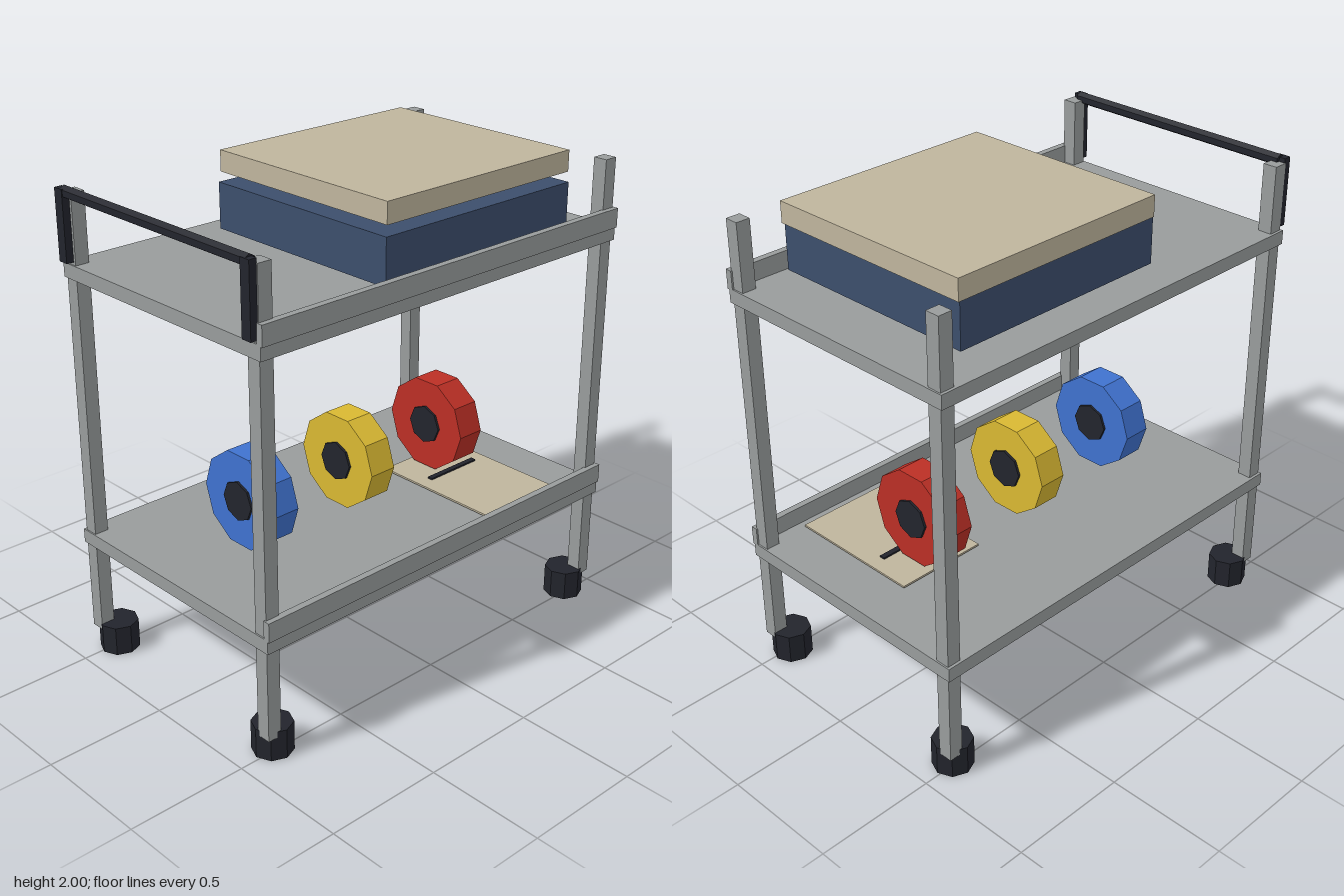
import * as THREE from 'three';

const mat = (name, color) => {
  const m = new THREE.MeshStandardMaterial({ color });
  m.name = name;
  m.flatShading = true;
  return m;
};

export function createModel() {
  const steel = mat('steelGrey', 0x989c9c);
  const dark = mat('darkRubber', 0x22242c);
  const tan = mat('cardTan', 0xbfb59d);
  const navy = mat('navyBlue', 0x3c4e6c);
  const blue = mat('spoolBlue', 0x3f72cf);
  const yellow = mat('spoolYellow', 0xd9b832);
  const red = mat('spoolRed', 0xbb2f25);

  const cart = new THREE.Group();
  cart.name = 'utilityCart';

  const add = (name, geometry, material, x, y, z, parent = cart) => {
    const mesh = new THREE.Mesh(geometry, material);
    mesh.name = name;
    mesh.position.set(x, y, z);
    parent.add(mesh);
    return mesh;
  };

  // Box given by its low and high corners
  const box = (name, material, [x0, y0, z0], [x1, y1, z1]) =>
    add(name, new THREE.BoxGeometry(x1 - x0, y1 - y0, z1 - z0), material,
      (x0 + x1) / 2, (y0 + y1) / 2, (z0 + z1) / 2);

  // Two shelves, each with a raised lip along the front
  for (const [name, y] of [['lowerShelf', 0.487], ['upperShelf', 1.62]]) {
    box(name, steel, [-0.915, y, -0.57], [0.932, y + 0.058, 0.565]);
    box(name + 'Lip', steel, [-0.915, y + 0.053, 0.545], [0.932, y + 0.133, 0.574]);
  }

  // Corner posts standing on octagonal casters
  for (const side of [-1, 1]) {
    for (const end of [-1, 1]) {
      const x = 0.008 + side * 0.887;
      const z = -0.003 + end * 0.525;
      box('post', steel, [x - 0.03, 0.1, z - 0.03], [x + 0.03, 1.957, z + 0.03]);
      add('caster', new THREE.CylinderGeometry(0.082, 0.082, 0.125, 8), dark,
        0.008 + side * 0.841, 0.0625, -0.002 + end * 0.486);
    }
  }

  // Push handle: two uprights and a six-sided grip
  for (const end of [-1, 1]) {
    const z = -0.004 + end * 0.528;
    box('handleUpright', dark, [-0.94, 1.69, z - 0.023], [-0.907, 1.975, z + 0.023]);
  }
  const grip = add('handleGrip', new THREE.CylinderGeometry(0.025, 0.025, 1.05, 6), dark, -0.915, 1.96, -0.003);
  grip.rotation.x = Math.PI / 2;

  // Ten-sided spools with dark hubs, axles along x
  for (const [name, material, x] of [['blueSpool', blue, -0.505], ['yellowSpool', yellow, 0.01], ['redSpool', red, 0.525]]) {
    const spool = new THREE.Group();
    spool.name = name;
    spool.position.set(x, 0.765, -0.003);
    spool.rotation.z = Math.PI / 2;
    cart.add(spool);
    add('spoolBody', new THREE.CylinderGeometry(0.205, 0.205, 0.124, 10), material, 0, 0, 0, spool);
    add('spoolHub', new THREE.CylinderGeometry(0.083, 0.083, 0.144, 8), dark, 0, 0, 0, spool);
  }

  // Case and its lifted lid on the upper shelf
  box('caseBase', navy, [-0.277, 1.7, -0.428], [0.709, 1.888, 0.497]);
  box('caseLid', tan, [-0.235, 1.913, -0.467], [0.751, 2.0, 0.458]);

  // Sheet with a plain dark strip on the lower shelf
  box('sheet', tan, [0.325, 0.555, -0.1], [0.725, 0.563, 0.5]);
  box('sheetStrip', dark, [0.39, 0.563, 0.088], [0.66, 0.57, 0.112]);

  return cart;
}
